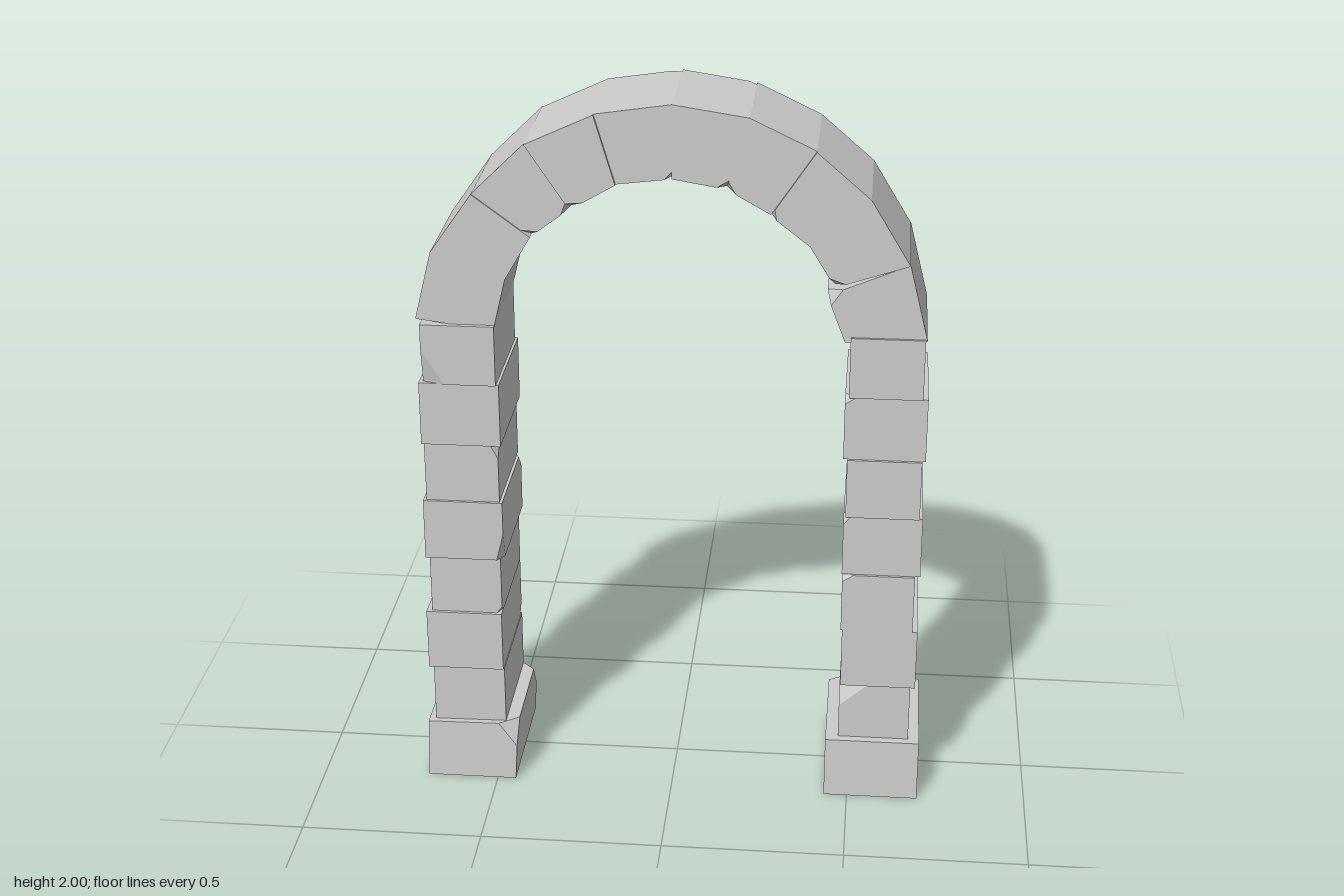
import * as THREE from 'three';
import { ConvexGeometry } from 'three/addons/geometries/ConvexGeometry.js';

const material = new THREE.MeshStandardMaterial({ color: 0xcccccc, flatShading: true });

// Stone block: a four-cornered face (counterclockwise) spanning zBack..zFront.
// Corners 0-3 are the front, 4-7 the back. Each chip is
// [corner, cut toward next corner, cut toward previous corner, cut in depth].
function stone(name, quad, zFront, zBack, chips = [], topInset = 0) {
  const corners = [zFront, zBack].flatMap((z) => quad.map(([x, y], i) =>
    new THREE.Vector3(x, y, z - (i > 1 ? Math.sign(z) * topInset : 0))));
  const points = [];
  corners.forEach((p, i) => {
    const chip = chips.find((c) => c[0] === i);
    if (!chip) return points.push(p);
    const side = i - (i % 4);
    const neighbours = [side + (i + 1) % 4, side + (i + 3) % 4, (i + 4) % 8];
    neighbours.forEach((n, k) => {
      const dir = corners[n].clone().sub(p).normalize();
      points.push(p.clone().addScaledVector(dir, chip[k + 1]));
    });
  });
  const mesh = new THREE.Mesh(new ConvexGeometry(points), material);
  mesh.name = name;
  return mesh;
}

const box = (x0, x1, y0, y1) => [[x0, y0], [x1, y0], [x1, y1], [x0, y1]];

// Course heights of both pillars
const courses = [0.168, 0.343, 0.52, 0.69, 0.865, 1.035, 1.215, 1.385];

// Per course: x from, x to, z front, z back, chips
const leftCourses = [
  [-0.678, -0.476, 0.168, -0.165, []],
  [-0.69, -0.478, 0.175, -0.172, [[5, 0.03, 0.03, 0.03]]],
  [-0.675, -0.477, 0.166, -0.166, [[1, 0.02, 0.015, 0.03]]],
  [-0.685, -0.466, 0.174, -0.17, [[1, 0.08, 0.02, 0.03], [6, 0.02, 0.04, 0.04]]],
  [-0.676, -0.474, 0.166, -0.168, [[2, 0.02, 0.04, 0.03]]],
  [-0.682, -0.465, 0.172, -0.174, [[4, 0.03, 0.03, 0.03]]],
  [-0.671, -0.472, 0.178, -0.166, [[0, 0.06, 0.1, 0.02]]],
];
const rightCourses = [
  [0.47, 0.667, 0.166, -0.166, [[3, 0.07, 0.08, 0.03]]],
  [0.472, 0.68, 0.174, -0.178, [[5, 0.06, 0.03, 0.02], [4, 0.03, 0.05, 0.04]]],
  [0.468, 0.666, 0.176, -0.166, [[3, 0.02, 0.03, 0.03]]],
  [0.466, 0.68, 0.168, -0.172, [[3, 0.025, 0.02, 0.03]]],
  [0.471, 0.671, 0.174, -0.17, [[5, 0.04, 0.03, 0.03]]],
  [0.46, 0.68, 0.166, -0.166, [[3, 0.02, 0.03, 0.03]]],
  [0.47, 0.666, 0.172, -0.17, [[7, 0.03, 0.03, 0.03]]],
];

// Arch joints, left to right: outer point, inner point
const joints = [
  [[-0.683, 1.397], [-0.475, 1.37]], [[-0.636, 1.585], [-0.44, 1.515]],
  [[-0.522, 1.748], [-0.37, 1.635]], [[-0.38, 1.887], [-0.265, 1.715]],
  [[-0.2, 1.97], [-0.145, 1.785]], [[0, 2], [0, 1.803]],
  [[0.198, 1.97], [0.14, 1.78]], [[0.37, 1.888], [0.255, 1.715]],
  [[0.512, 1.765], [0.358, 1.635]], [[0.618, 1.59], [0.425, 1.525]],
  [[0.67, 1.382], [0.455, 1.37]],
];
// Per arch stone: z front, z back, chips
const archStones = [
  [0.165, -0.176, [[5, 0.03, 0.03, 0.03]]],
  [0.168, -0.17, [[6, 0.03, 0.03, 0.03]]],
  [0.163, -0.175, [[1, 0.025, 0.03, 0.03], [2, 0.02, 0.03, 0.03]]],
  [0.172, -0.166, [[1, 0.04, 0.02, 0.04]]],
  [0.163, -0.165, [[2, 0.02, 0.02, 0.03], [7, 0.03, 0.02, 0.02]]],
  [0.163, -0.165, [[2, 0.025, 0.025, 0.03], [7, 0.02, 0.02, 0.02]]],
  [0.163, -0.165, [[1, 0.03, 0.02, 0.03]]],
  [0.173, -0.165, [[1, 0.02, 0.02, 0.03]]],
  [0.173, -0.168, [[2, 0.03, 0.03, 0.03]]],
  [0.165, -0.174, [[1, 0.03, 0.045, 0.05], [5, 0.03, 0.03, 0.03]]],
];

export function createModel() {
  const model = new THREE.Group();
  model.name = 'stoneArch';

  // Wider foot blocks, slightly narrower at the top
  const feet = new THREE.Group();
  feet.name = 'feet';
  feet.add(
    stone('leftFoot', [[-0.7, 0], [-0.448, 0], [-0.44, 0.173], [-0.697, 0.17]], 0.198, -0.2,
      [[2, 0.055, 0.07, 0.04], [6, 0.06, 0.08, 0.06]], 0.012),
    stone('rightFoot', box(0.435, 0.698, 0, 0.173), 0.202, -0.207,
      [[7, 0.08, 0.08, 0.05], [6, 0.03, 0.04, 0.03]], 0.012));
  model.add(feet);

  // Pillars of stacked blocks
  for (const [name, rows] of [['leftPillar', leftCourses], ['rightPillar', rightCourses]]) {
    const pillar = new THREE.Group();
    pillar.name = name;
    rows.forEach(([x0, x1, zf, zb, chips], i) =>
      pillar.add(stone('pillarBlock', box(x0, x1, courses[i], courses[i + 1]), zf, zb, chips)));
    model.add(pillar);
  }

  // Wedge stones of the arch
  const arch = new THREE.Group();
  arch.name = 'arch';
  archStones.forEach(([zf, zb, chips], i) => {
    const [a, b] = [joints[i], joints[i + 1]];
    const quad = [a[0], a[1], b[1], b[0]].map((p) => [...p]);
    if (i === 9) quad[1] = [0.405, 1.5];
    arch.add(stone('archStone', quad, zf, zb, chips));
  });
  model.add(arch);

  return model;
}
